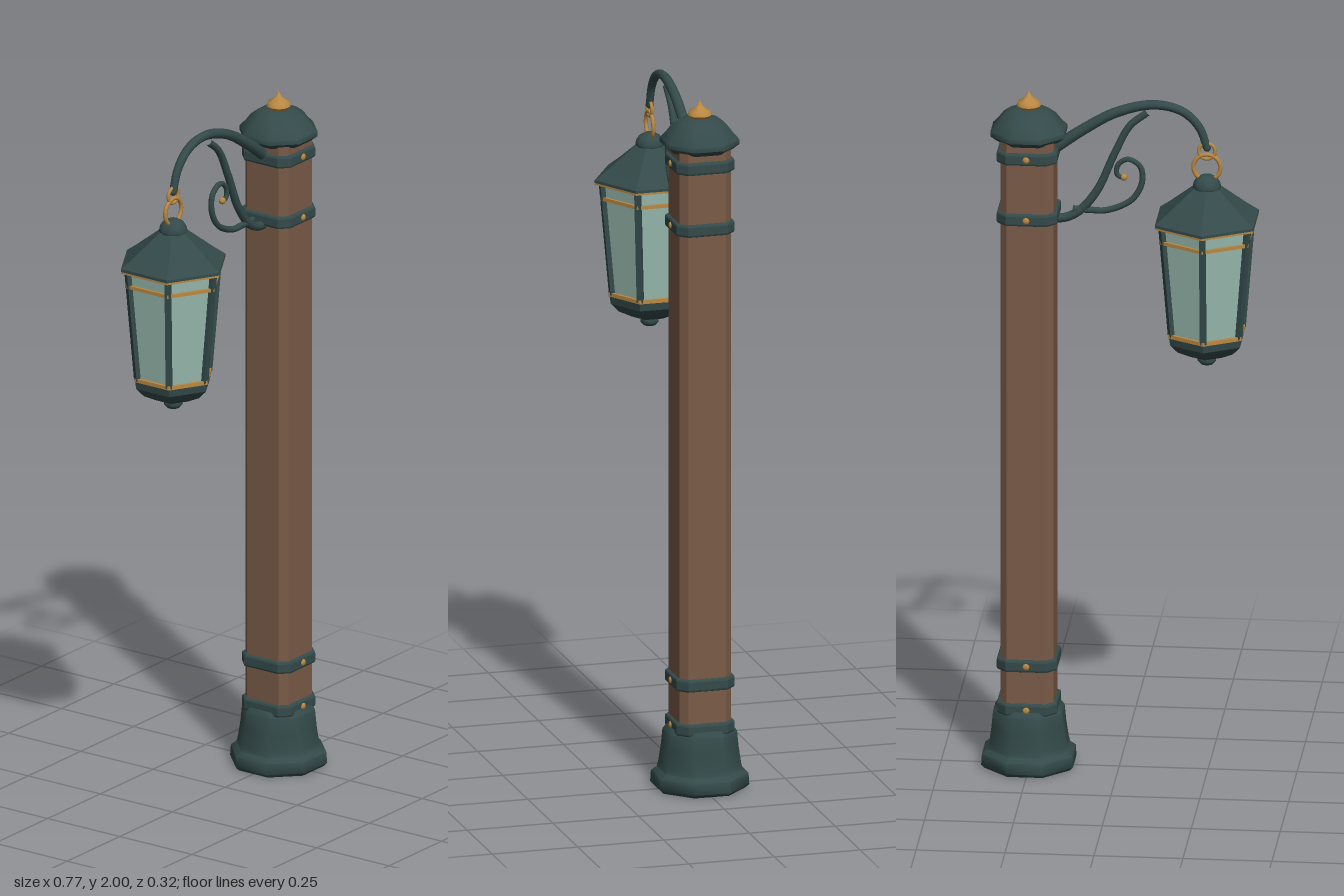
import * as THREE from 'three';
import { toCreasedNormals } from 'three/addons/utils/BufferGeometryUtils.js';

const mat = (name, color) => {
  const m = new THREE.MeshStandardMaterial({ color });
  m.name = name;
  return m;
};

export function createModel() {
  const iron = mat('dark green iron', 0x344a4a);
  const wood = mat('brown wood', 0x7a5b47);
  const brass = mat('brass', 0xb98842);
  const glass = mat('pale green glass', 0x98bbaf);

  const root = new THREE.Group();
  root.name = 'lampPost';
  const POST_X = 0.254, LAMP_X = -0.2465;
  const post = new THREE.Group();
  post.name = 'post';
  post.position.x = POST_X;
  const lantern = new THREE.Group();
  lantern.name = 'lantern';
  lantern.position.x = LAMP_X;
  const bracket = new THREE.Group();
  bracket.name = 'bracket';
  root.add(post, lantern, bracket);

  const add = (parent, name, geo, material, x = 0, y = 0, z = 0) => {
    const mesh = new THREE.Mesh(geo, material);
    mesh.name = name;
    mesh.position.set(x, y, z);
    parent.add(mesh);
    return mesh;
  };

  // Turned profile with a chosen number of sides, listed bottom to top
  const lathe = (pts, sides, crease) =>
    toCreasedNormals(new THREE.LatheGeometry(pts.map(p => new THREE.Vector2(...p)), sides), crease);

  // Octagonal profile given by half width across the flats
  const octagon = (pts, crease) =>
    lathe(pts.map(([r, y]) => [r / Math.cos(Math.PI / 8), y]), 8, crease).rotateY(Math.PI / 8);

  // Upright square block with chamfered corners
  const chamferedBlock = (half, chamfer, height, bevel) => {
    const h = half - bevel, c = h - chamfer;
    const shape = new THREE.Shape([[h, -c], [h, c], [c, h], [-c, h], [-h, c], [-h, -c], [-c, -h], [c, -h]]
      .map(p => new THREE.Vector2(...p)));
    return new THREE.ExtrudeGeometry(shape, {
      depth: height - 2 * bevel, bevelEnabled: bevel > 0,
      bevelThickness: bevel, bevelSize: bevel, bevelSegments: 2,
    }).translate(0, 0, bevel).rotateX(-Math.PI / 2);
  };

  // Tube through points in the xy plane, tapering from r0 to r1
  const taperedTube = (pts, r0, r1, segments = 48, sides = 10) => {
    const curve = new THREE.CatmullRomCurve3(pts.map(([x, y]) => new THREE.Vector3(x, y, 0)));
    const geo = new THREE.TubeGeometry(curve, segments, r0, sides);
    const p = geo.attributes.position, v = new THREE.Vector3();
    for (let i = 0; i <= segments; i++) {
      const t = i / segments, c = curve.getPointAt(t), k = 1 + (r1 / r0 - 1) * t;
      for (let j = 0; j <= sides; j++) {
        const n = i * (sides + 1) + j;
        v.fromBufferAttribute(p, n).sub(c).multiplyScalar(k).add(c);
        p.setXYZ(n, v.x, v.y, v.z);
      }
    }
    return geo;
  };

  // Post: foot, shaft, cap and finial
  add(post, 'foot', octagon([[0, 0], [0.12, 0], [0.129, 0.01], [0.127, 0.042], [0.112, 0.054],
    [0.108, 0.07], [0.101, 0.12], [0.097, 0.165], [0.086, 0.18], [0, 0.18]], 0.85), iron);
  add(post, 'shaft', chamferedBlock(0.075, 0.02, 1.74, 0), wood, 0, 0.14);
  add(post, 'cap', octagon([[0, 1.858], [0.085, 1.858], [0.104, 1.874], [0.104, 1.887], [0.088, 1.905],
    [0.073, 1.926], [0.053, 1.942], [0.025, 1.949], [0, 1.95]], 0.85), iron);
  add(post, 'finial', lathe([[0, 1.938], [0.025, 1.944], [0.034, 1.956], [0.03, 1.967], [0.015, 1.976],
    [0.007, 1.985], [0, 2]], 16, 0.9), brass);

  // Iron bands with brass rivets front and back
  for (const y of [0.185, 0.315, 1.64, 1.82]) {
    add(post, 'band', chamferedBlock(0.085, 0.023, 0.036, 0.007), iron, 0, y - 0.018);
    for (const side of [-1, 1]) {
      add(post, 'rivet', new THREE.SphereGeometry(0.01, 10, 6), brass, 0, y, side * 0.085).scale.z = 0.6;
    }
  }

  // Bracket: curved arm, brace and scroll
  add(bracket, 'arm', taperedTube([[0.19, 1.825], [0.103, 1.887], [0.008, 1.942], [-0.098, 1.968],
    [-0.177, 1.951], [-0.225, 1.905], [-0.247, 1.845]], 0.017, 0.011), iron);
  add(bracket, 'armTip', new THREE.SphereGeometry(0.011, 10, 8), iron, -0.247, 1.845);
  add(bracket, 'brace', taperedTube([[0.19, 1.622], [0.15, 1.626], [0.11, 1.648], [0.06, 1.712],
    [0.015, 1.815], [-0.03, 1.903], [-0.08, 1.945]], 0.013, 0.01), iron);
  add(bracket, 'scroll', taperedTube([[0.13, 1.652], [0.085, 1.65], [0.034, 1.651], [-0.034, 1.683],
    [-0.064, 1.735], [-0.059, 1.783], [-0.024, 1.804], [0.004, 1.785], [0.005, 1.756], [-0.013, 1.748]],
    0.01, 0.007, 60, 8), iron);
  add(bracket, 'scrollTip', new THREE.SphereGeometry(0.01, 10, 8), brass, -0.013, 1.75);

  // Hanging rings
  add(lantern, 'upperRing', new THREE.TorusGeometry(0.023, 0.005, 8, 24), brass, 0, 1.835);
  add(lantern, 'lowerRing', new THREE.TorusGeometry(0.038, 0.006, 8, 28), brass, 0, 1.787);

  // Six-sided lantern, with flat faces
  const hex = pts => lathe(pts, 6, 0.1);
  const hexRing = (r, y, h, t) => hex([[r - t, y], [r, y], [r, y + h], [r - t, y + h], [r - t, y]]);
  add(lantern, 'roof', hex([[0, 1.63], [0.16, 1.63], [0.16, 1.638], [0.125, 1.663],
    [0.042, 1.728], [0, 1.728]]), iron);
  add(lantern, 'roofKnob', lathe([[0, 1.722], [0.036, 1.722], [0.04, 1.73], [0.038, 1.742], [0.03, 1.755],
    [0.015, 1.764], [0, 1.766]], 18, 0.7), iron);
  add(lantern, 'eaveTrim', hexRing(0.159, 1.624, 0.009, 0.012), brass);
  add(lantern, 'panes', hex([[0, 1.3], [0.108, 1.3], [0.138, 1.63], [0, 1.63]]), glass);
  add(lantern, 'upperTrim', hexRing(0.143, 1.578, 0.01, 0.02), brass);
  add(lantern, 'lowerTrim', hexRing(0.119, 1.296, 0.011, 0.02), brass);
  add(lantern, 'base', hex([[0, 1.232], [0.052, 1.232], [0.09, 1.25], [0.113, 1.274],
    [0.117, 1.298], [0, 1.298]]), iron);
  add(lantern, 'baseKnob', lathe([[0, 1.204], [0.018, 1.205], [0.026, 1.214], [0.026, 1.224],
    [0.02, 1.236], [0, 1.236]], 14, 0.8), iron);

  // Corner bars of the lantern
  const tilt = Math.atan2(0.03, 0.33);
  for (let i = 0; i < 6; i++) {
    const corner = new THREE.Group();
    corner.name = 'cornerBar';
    corner.rotation.y = i * Math.PI / 3;
    const bar = add(corner, 'bar', new THREE.BoxGeometry(0.018, 0.332, 0.014), iron, 0, 1.465, 0.124);
    bar.rotation.x = tilt;
    lantern.add(corner);
  }
  return root;
}
